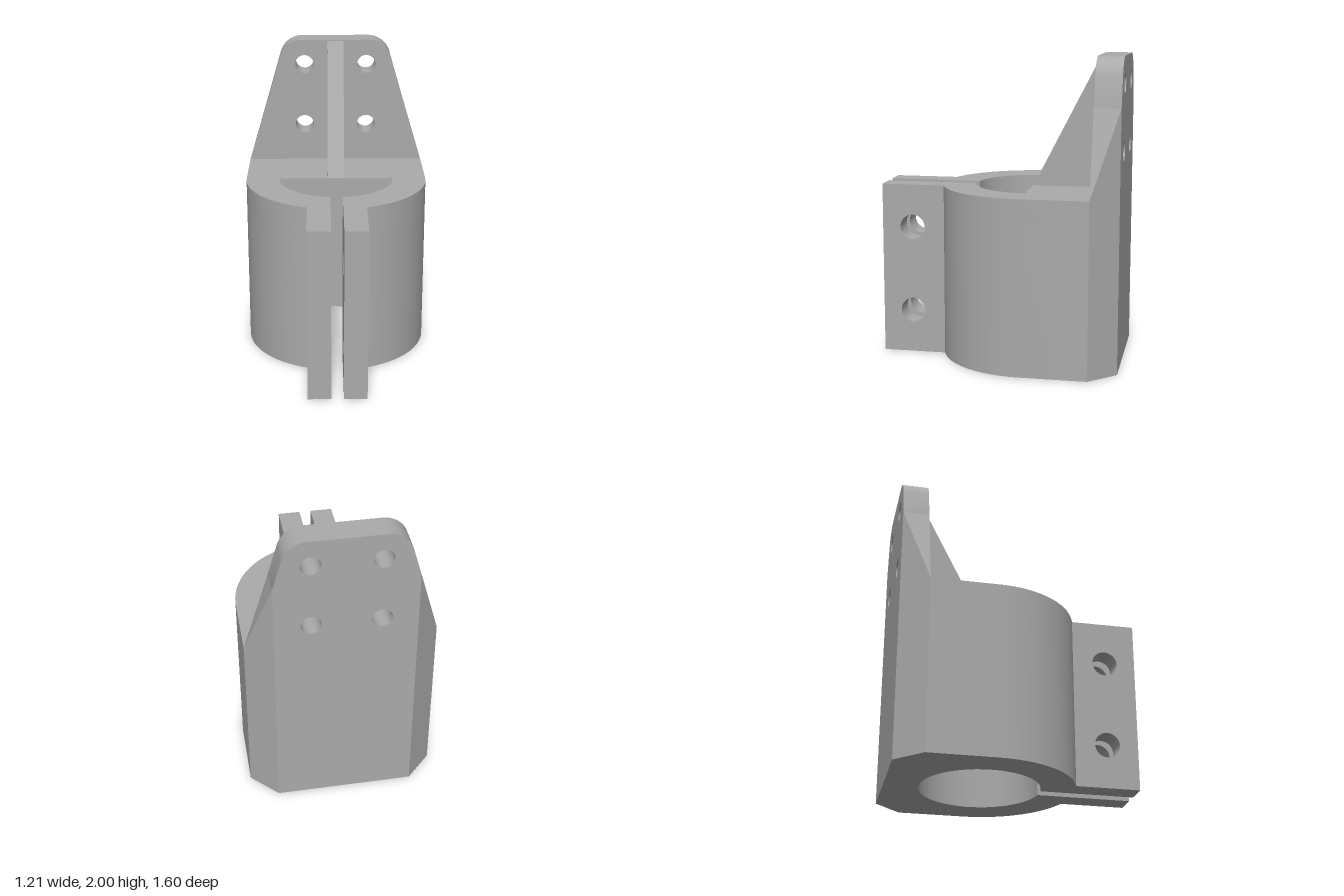
import * as THREE from 'three';
import { toCreasedNormals } from 'three/addons/utils/BufferGeometryUtils.js';
import { ConvexGeometry } from 'three/addons/geometries/ConvexGeometry.js';

const HEIGHT = 1.14, ROOF = 0.955;      // body top, underside of the half cap over the bore
const R = 0.607, BORE = 0.385, CZ = 0.195; // clamp radii and axis offset towards the back
const SLOT = 0.04, EAR = 0.19;          // half widths across the slot and the ears
const BACK = 0.8, PLATE = 0.63, FLAT = 0.44; // back face, plate front, half width of back face

const metal = new THREE.MeshStandardMaterial({ color: 0xaaaaaa });
metal.name = 'grey metal';

function extrude(shape, depth) {
  return new THREE.ExtrudeGeometry(shape, { depth, bevelEnabled: false, curveSegments: 32 });
}

function addHole(shape, x, y, r) {
  shape.holes.push(new THREE.Path().absarc(x, y, r, 0, Math.PI * 2, true));
}

// Plan of the clamp, drawn with the back upwards
function clampPlan(capped) {
  const o = Math.asin(SLOT / R), i = Math.asin(SLOT / BORE), P = Math.PI;
  const s = new THREE.Shape();
  s.absarc(0, CZ, R, -P / 2 + o, 0, false);
  s.lineTo(R, PLATE);
  s.lineTo(FLAT, BACK);
  s.lineTo(-FLAT, BACK);
  s.lineTo(-R, PLATE);
  s.absarc(0, CZ, R, P, 1.5 * P - o, false);
  if (capped) {
    s.absarc(0, CZ, BORE, 1.5 * P - i, P, true);
    s.absarc(0, CZ, BORE, 0, -P / 2 + i, true);
  } else {
    s.absarc(0, CZ, BORE, 1.5 * P - i, -P / 2 + i, true);
  }
  s.closePath();
  return s;
}

export function createModel() {
  const group = new THREE.Group();
  const add = (name, geometry) => {
    const mesh = new THREE.Mesh(toCreasedNormals(geometry, 0.5), metal);
    mesh.name = name;
    group.add(mesh);
  };

  // Clamp body: full bore below, rear half closed at the top
  add('clampBody', extrude(clampPlan(false), ROOF).rotateX(-Math.PI / 2));
  add('clampCap', extrude(clampPlan(true), HEIGHT - ROOF).rotateX(-Math.PI / 2).translate(0, ROOF, 0));

  // Pair of bolt ears at the front
  const ear = new THREE.Shape();
  ear.moveTo(0.382, 0);
  ear.lineTo(0.8, 0);
  ear.lineTo(0.8, HEIGHT);
  ear.lineTo(0.382, HEIGHT);
  ear.closePath();
  for (const y of [0.287, 0.855]) addHole(ear, 0.597, y, 0.083);
  for (const [name, x] of [['leftEar', EAR], ['rightEar', -SLOT]]) {
    add(name, extrude(ear, EAR - SLOT).rotateY(-Math.PI / 2).translate(x, 0, 0));
  }

  // Upright mounting plate with rounded top corners and four holes
  const tilt = 0.289, shoulder = 1.69;
  const plate = new THREE.Shape();
  plate.moveTo(-FLAT, HEIGHT);
  plate.lineTo(FLAT, HEIGHT);
  plate.lineTo(FLAT, shoulder);
  plate.absarc(0.23, 1.84, 0.16, tilt, Math.PI / 2, false);
  plate.absarc(-0.23, 1.84, 0.16, Math.PI / 2, Math.PI - tilt, false);
  plate.lineTo(-FLAT, shoulder);
  plate.closePath();
  for (const x of [-0.215, 0.215]) for (const y of [1.4, 1.83]) addHole(plate, x, y, 0.063);
  add('mountingPlate', extrude(plate, BACK - PLATE).translate(0, 0, -BACK));

  // Tapered, chamfered flanks of the plate
  for (const [name, side] of [['leftFlank', 1], ['rightFlank', -1]]) {
    add(name, new ConvexGeometry([
      [R, HEIGHT, -PLATE], [FLAT, HEIGHT, -PLATE], [FLAT, HEIGHT, -BACK],
      [FLAT, shoulder, -PLATE], [FLAT, shoulder, -BACK],
    ].map(([x, y, z]) => new THREE.Vector3(side * x, y, z))));
  }

  // Triangular stiffening rib
  const rib = new THREE.Shape();
  rib.moveTo(-PLATE, HEIGHT);
  rib.lineTo(-CZ, HEIGHT);
  rib.lineTo(-PLATE, 1.99);
  rib.closePath();
  add('rib', extrude(rib, 0.112).rotateY(-Math.PI / 2).translate(0.056, 0, 0));

  return group;
}
